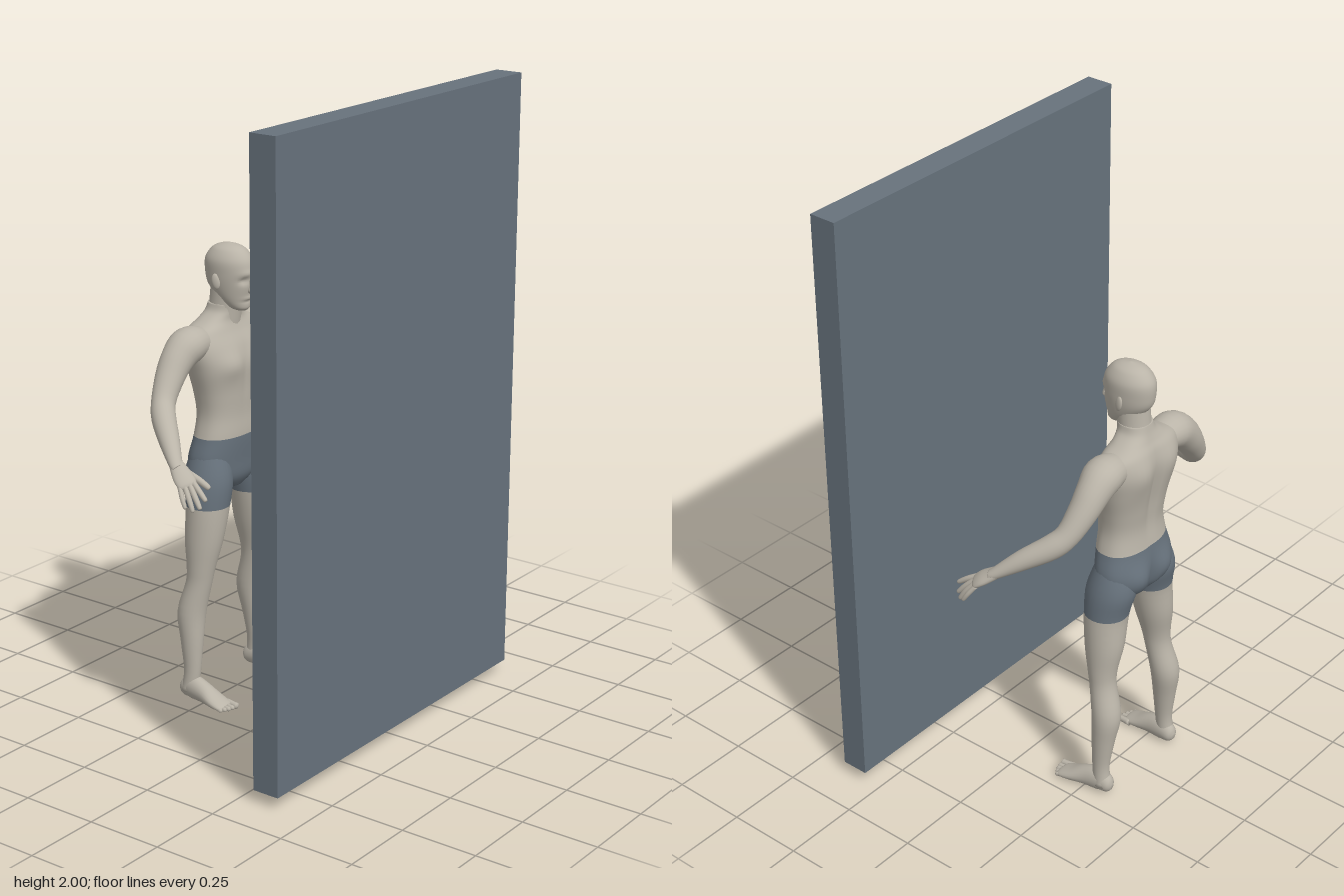
import * as THREE from 'three';

const skin = new THREE.MeshStandardMaterial({ color: 0xbab4a8 });
skin.name = 'skin';
const slate = new THREE.MeshStandardMaterial({ color: 0x67727c });
slate.name = 'slate';

// Uniform Catmull-Rom through the sections, one component at a time
function sample(sections, k, f) {
  const at = i => sections[Math.min(Math.max(i, 0), sections.length - 1)];
  const [a, b, c, d] = [at(k - 1), at(k), at(k + 1), at(k + 2)];
  return b.map((_, i) => b[i] + 0.5 * f * (c[i] - a[i] +
    f * (2 * a[i] - 5 * b[i] + 4 * c[i] - d[i] + f * (3 * (b[i] - c[i]) + d[i] - a[i]))));
}

// Closed smooth body through oval sections [x, y, z, radiusA, radiusB].
// bumps: [x, y, side (1 front, -1 back), amount, widthX, widthY], mirrored in x.
// split: section index where the second material takes over.
function loft(name, sections, { sides = 20, steps = 4, ref = [1, 0, 0], power = 2, level = false,
  bumps = [], split = 0, material = skin } = {}) {
  const rows = [];
  for (let k = 0; k < sections.length - 1; k++)
    for (let s = 0; s < steps; s++) rows.push(sample(sections, k, s / steps));
  rows.push(sections[sections.length - 1]);
  const centres = rows.map(r => new THREE.Vector3(r[0], r[1], r[2]));
  const pos = [], idx = [], last = rows.length - 1;
  const shape = c => Math.sign(c) * Math.abs(c) ** (2 / power);
  rows.forEach((r, i) => {
    const t = level ? new THREE.Vector3(0, 1, 0)
      : centres[Math.min(i + 1, last)].clone().sub(centres[Math.max(i - 1, 0)]).normalize();
    const u = new THREE.Vector3(...ref);
    u.addScaledVector(t, -u.dot(t)).normalize();
    const v = u.clone().cross(t);
    for (let j = 0; j < sides; j++) {
      const a = j / sides * Math.PI * 2, sin = Math.sin(a);
      const p = centres[i].clone()
        .addScaledVector(u, Math.max(r[3], 0.001) * shape(Math.cos(a)))
        .addScaledVector(v, Math.max(r[4], 0.001) * shape(sin));
      let dz = 0;
      for (const [x, y, side, amount, wx, wy] of bumps)
        dz += side * amount * Math.min(1, 2 * Math.max(0, side * sin)) *
          Math.exp(-(((Math.abs(p.x) - x) / wx) ** 2) - ((p.y - y) / wy) ** 2);
      pos.push(p.x, p.y, p.z + dz);
    }
  });
  const start = pos.length / 3, end = start + 1;
  pos.push(...centres[0].toArray(), ...centres[last].toArray());
  for (let j = 0; j < sides; j++) idx.push(start, j, (j + 1) % sides);
  for (let i = 0; i < last; i++)
    for (let j = 0; j < sides; j++) {
      const a = i * sides + j, b = i * sides + (j + 1) % sides;
      idx.push(a, a + sides, b, b, a + sides, b + sides);
    }
  for (let j = 0; j < sides; j++) idx.push(end, last * sides + (j + 1) % sides, last * sides + j);
  const g = new THREE.BufferGeometry();
  g.setAttribute('position', new THREE.Float32BufferAttribute(pos, 3));
  g.setIndex(idx);
  g.computeVertexNormals();
  if (split) {
    const cut = sides * 3 + split * steps * sides * 6;
    g.addGroup(0, cut, 0);
    g.addGroup(cut, idx.length - cut, 1);
  }
  const mesh = new THREE.Mesh(g, material);
  mesh.name = name;
  return mesh;
}

export function createModel() {
  const model = new THREE.Group();
  model.name = 'figureBehindPanel';

  // Standing panel
  const panel = new THREE.Mesh(new THREE.BoxGeometry(1.24, 1.96, 0.09), slate);
  panel.name = 'panel';
  panel.position.set(0, 1.02, 0.345);
  model.add(panel);

  const body = new THREE.Group();
  body.name = 'figure';
  model.add(body);

  // Trunk: shorts below the waistband, skin above
  body.add(loft('torso', [
    [0, 0.70, -0.285, 0.05, 0.045], [0, 0.74, -0.288, 0.125, 0.072], [0, 0.80, -0.289, 0.15, 0.08],
    [0, 0.88, -0.28, 0.132, 0.078], [0, 0.95, -0.278, 0.12, 0.074], [0, 1.02, -0.28, 0.128, 0.08],
    [0, 1.10, -0.284, 0.148, 0.089], [0, 1.17, -0.293, 0.163, 0.084], [0, 1.22, -0.30, 0.15, 0.068],
    [0, 1.25, -0.298, 0.095, 0.056], [0, 1.275, -0.292, 0.06, 0.052], [0, 1.30, -0.287, 0.05, 0.05],
  ], {
    sides: 48, steps: 6, power: 2.35, level: true, split: 3, material: [slate, skin],
    bumps: [
      [0.07, 1.12, 1, 0.012, 0.05, 0.04], [0, 1.1, 1, -0.008, 0.015, 0.09], // chest
      [0, 1.08, -1, -0.016, 0.02, 0.13], [0.07, 1.16, -1, 0.012, 0.045, 0.06], // spine, shoulder blades
      [0.065, 0.78, -1, 0.016, 0.045, 0.05], [0, 0.77, -1, -0.016, 0.014, 0.06], // seat
    ],
  }));

  // Neck and head
  body.add(loft('neck', [
    [0, 1.2, -0.297, 0.06, 0.055], [0, 1.26, -0.289, 0.053, 0.054],
    [0, 1.3, -0.283, 0.05, 0.053], [0, 1.36, -0.275, 0.048, 0.055],
  ], { level: true }));
  body.add(loft('head', [
    [0, 1.283, -0.222, 0.016, 0.018], [0, 1.293, -0.23, 0.032, 0.036], [0, 1.32, -0.248, 0.047, 0.057],
    [0, 1.36, -0.262, 0.057, 0.08], [0, 1.40, -0.265, 0.061, 0.087], [0, 1.44, -0.267, 0.06, 0.083],
    [0, 1.47, -0.267, 0.045, 0.062], [0, 1.484, -0.267, 0.026, 0.038], [0, 1.491, -0.267, 0.002, 0.003],
  ], {
    sides: 40, steps: 7, level: true,
    bumps: [
      [0.024, 1.383, 1, -0.011, 0.013, 0.011], [0.02, 1.405, 1, 0.004, 0.02, 0.01], // eye sockets, brow
      [0, 1.325, 1, 0.005, 0.02, 0.006], [0, 1.315, 1, -0.003, 0.02, 0.004], // lips
    ],
  }));
  body.add(loft('nose', [
    [0, 1.342, -0.185, 0.008, 0.006], [0, 1.35, -0.179, 0.013, 0.013],
    [0, 1.367, -0.179, 0.009, 0.01], [0, 1.392, -0.18, 0.007, 0.006], [0, 1.403, -0.183, 0.004, 0.003],
  ], { sides: 14, level: true }));

  for (const [side, s] of [['left', 1], ['right', -1]]) {
    const limb = (name, sections, options) =>
      body.add(loft(side + name, sections.map(([x, ...r]) => [x * s, ...r]), options));

    // Ear
    const ear = new THREE.Mesh(new THREE.SphereGeometry(1, 14, 10), skin);
    ear.name = side + 'Ear';
    ear.scale.set(0.007, 0.025, 0.014);
    ear.position.set(s * 0.062, 1.377, -0.272);
    ear.rotation.set(-0.2, s * -0.3, 0);
    body.add(ear);

    // Leg with the shorts' leg on top
    limb('Leg', [
      [0.168, 0.03, -0.312, 0.027, 0.03], [0.165, 0.10, -0.303, 0.026, 0.029],
      [0.16, 0.2, -0.307, 0.036, 0.038], [0.152, 0.3, -0.312, 0.047, 0.047],
      [0.142, 0.4, -0.29, 0.043, 0.043], [0.137, 0.46, -0.283, 0.047, 0.048],
      [0.125, 0.55, -0.28, 0.06, 0.064], [0.11, 0.66, -0.275, 0.071, 0.071],
      [0.096, 0.75, -0.283, 0.075, 0.08], [0.085, 0.84, -0.285, 0.055, 0.055],
    ], { sides: 24, level: true, split: 7, material: [skin, slate] });

    // Foot and toes
    limb('Foot', [
      [0.163, 0.028, -0.347, 0.008, 0.01], [0.164, 0.031, -0.335, 0.023, 0.027],
      [0.166, 0.042, -0.30, 0.029, 0.041], [0.17, 0.035, -0.25, 0.031, 0.034],
      [0.175, 0.022, -0.2, 0.037, 0.021], [0.177, 0.014, -0.165, 0.036, 0.013],
      [0.177, 0.012, -0.155, 0.03, 0.008],
    ]);
    [[0.148, -0.131, 0.011], [0.167, -0.132, 0.008], [0.181, -0.136, 0.008],
      [0.194, -0.142, 0.0075], [0.206, -0.15, 0.007]].forEach(([x, z, r], i) =>
      limb('Toe' + (i + 1), [
        [x - 0.003, 0.015, -0.18, r, r], [x, 0.013, z - 0.015, r * 0.9, r * 0.9],
        [x, 0.011, z - 0.005, r, r], [x, 0.01, z, r * 0.3, r * 0.3],
      ], { sides: 10, steps: 3 }));

    // Arm, bent forward at the elbow
    limb('Arm', [
      [0.10, 1.19, -0.30, 0.045, 0.05], [0.165, 1.192, -0.30, 0.057, 0.062],
      [0.215, 1.16, -0.302, 0.053, 0.053], [0.26, 1.11, -0.298, 0.045, 0.046],
      [0.31, 1.048, -0.282, 0.038, 0.038], [0.347, 1.01, -0.25, 0.038, 0.038],
      [0.40, 0.965, -0.185, 0.031, 0.032], [0.445, 0.92, -0.125, 0.019, 0.022],
      [0.452, 0.908, -0.108, 0.016, 0.022],
    ], { ref: [0, 1, 0], sides: 24 });

    // Palm, thumb and fingers
    limb('Palm', [
      [0.443, 0.922, -0.128, 0.02, 0.017], [0.452, 0.905, -0.105, 0.027, 0.016],
      [0.462, 0.888, -0.08, 0.032, 0.015], [0.469, 0.873, -0.06, 0.03, 0.011],
      [0.472, 0.867, -0.052, 0.02, 0.005],
    ], { ref: [1, -0.4 * s, -0.3 * s] });
    [['Thumb', [0.437, 0.903, -0.105], [0.414, 0.872, -0.062], [0.403, 0.848, -0.028], 0.011],
      ['IndexFinger', [0.447, 0.884, -0.065], [0.461, 0.862, -0.025], [0.47, 0.836, 0.012], 0.009],
      ['MiddleFinger', [0.462, 0.876, -0.06], [0.475, 0.846, -0.028], [0.484, 0.812, 0.001], 0.009],
      ['RingFinger', [0.477, 0.87, -0.064], [0.489, 0.838, -0.038], [0.496, 0.803, -0.017], 0.0085],
      ['LittleFinger', [0.487, 0.868, -0.074], [0.5, 0.84, -0.055], [0.506, 0.812, -0.038], 0.0075],
    ].forEach(([name, a, b, c, r]) => {
      const tip = c.map((v, i) => v + (b[i] - v) * 0.15);
      limb(name, [[...a, r, r], [...b, r, r], [...tip, r * 0.8, r * 0.8], [...c, r * 0.3, r * 0.3]],
        { sides: 10 });
    });
  }
  return model;
}
